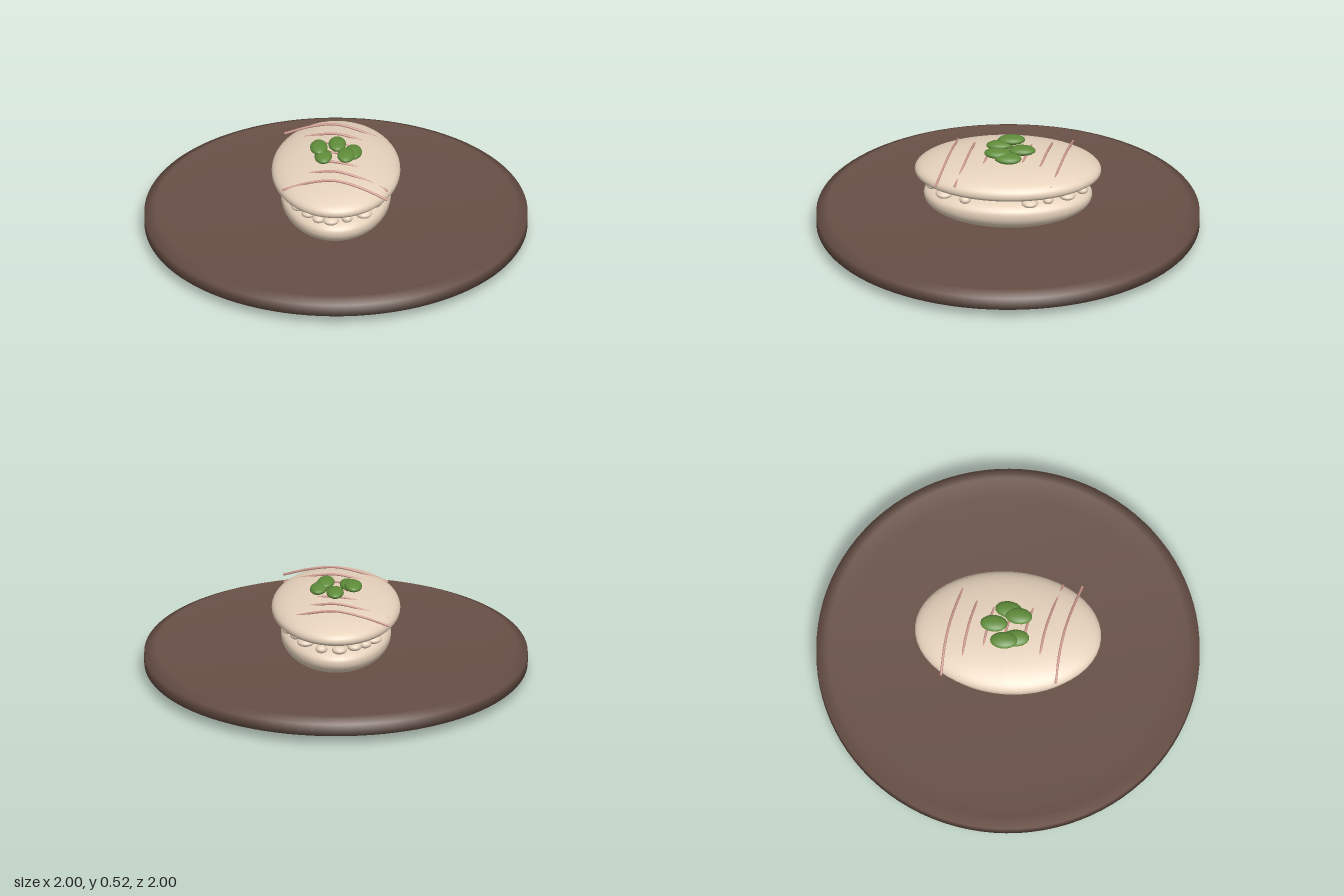
import * as THREE from 'three';

const mat = (name, color) => {
  const m = new THREE.MeshStandardMaterial({ color });
  m.name = name;
  return m;
};

export function createModel() {
  const clay = mat('dark brown plate', 0x674f45);
  const dough = mat('cream dough', 0xe6d2bc);
  const sauce = mat('pink brown sauce', 0xca968b);
  const leafGreen = mat('leaf green', 0x5f8c3a);

  const group = new THREE.Group();
  const add = (name, geo, material, parent = group) => {
    const mesh = new THREE.Mesh(geo, material);
    mesh.name = name;
    parent.add(mesh);
    return mesh;
  };
  const subgroup = (name) => {
    const g = new THREE.Group();
    g.name = name;
    group.add(g);
    return g;
  };

  // Round plate: sloping underside, bevelled rim and a shallow sunken floor
  const rim = [[0, 0.005], [0.71, 0.005], [1, 0.06], [1, 0.124], [0.94, 0.151], [0.85, 0.102], [0, 0.1]];
  add('plate', new THREE.LatheGeometry(rim.map(p => new THREE.Vector2(...p)), 96), clay);

  // Oval buns: each half has its own height and fullness (2 is a plain ellipse)
  const bun = (name, rx, rz, y, [up, upFull], [down, downFull]) => {
    const geo = new THREE.SphereGeometry(1, 48, 40);
    const p = geo.attributes.position;
    for (let i = 0; i < p.count; i++) {
      const h = p.getY(i);
      const e = 2 / (h > 0 ? upFull : downFull);
      const s = Math.hypot(p.getX(i), p.getZ(i));
      const k = s > 1e-6 ? s ** (e - 1) : 0;
      const height = Math.sign(h) * Math.abs(h) ** e * (h > 0 ? up : down);
      p.setXYZ(i, p.getX(i) * k * rx, height, p.getZ(i) * k * rz);
    }
    geo.computeVertexNormals();
    add(name, geo, dough).position.y = y;
  };
  bun('lowerBun', 0.288, 0.44, 0.235, [0.085, 2.4], [0.138, 2.1]);
  bun('upperBun', 0.336, 0.487, 0.375, [0.096, 2.1], [0.068, 2.5]);

  // Filling lumps peeking out between the buns, mostly at the two ends
  const filling = subgroup('filling');
  const lump = new THREE.SphereGeometry(1, 16, 10);
  const count = 20;
  for (let i = 0; i < count; i++) {
    const a = ((i + 0.25 * Math.sin(i * 5.3)) / count) * Math.PI * 2;
    if (Math.abs(Math.sin(a)) < 0.25) continue;
    const size = 0.037 + 0.008 * Math.sin(i * 2.7);
    const m = add('fillingLump', lump, dough, filling);
    m.position.set(Math.cos(a) * 0.25, 0.304 + 0.005 * Math.sin(i * 1.9), Math.sin(a) * 0.41);
    m.scale.set(size, 0.022, size);
  }

  // Seven slanted sauce strands arched over the upper bun
  const drizzle = subgroup('sauceDrizzle');
  for (let i = 0; i < 7; i++) {
    const z = -0.33 + i * 0.1;
    const path = new THREE.CatmullRomCurve3([
      new THREE.Vector3(-0.27, 0.405, z),
      new THREE.Vector3(-0.13, 0.453, z + 0.008),
      new THREE.Vector3(0, 0.475, z + 0.027),
      new THREE.Vector3(0.13, 0.453, z + 0.058),
      new THREE.Vector3(0.27, 0.405, z + 0.098),
    ]);
    const strand = new THREE.TubeGeometry(path, 32, 0.0065, 8);
    add('sauceStrand', strand, sauce, drizzle);
    for (const t of [0, 1]) {
      const tip = add('strandTip', new THREE.SphereGeometry(0.0065, 8, 6), sauce, drizzle);
      tip.position.copy(path.getPoint(t));
    }
  }

  // Small cluster of leaves on top: x, y, z, tilt
  const leaves = subgroup('leafGarnish');
  const leafGeo = new THREE.SphereGeometry(1, 20, 12);
  const spots = [
    [-0.09, 0.5, -0.016, 0.03],
    [0.005, 0.487, -0.074, 0],
    [0.09, 0.48, -0.003, -0.08],
    [0.053, 0.492, 0.052, -0.05],
    [-0.066, 0.48, 0.045, 0.08],
  ];
  for (const [x, y, z, tilt] of spots) {
    const leaf = add('leaf', leafGeo, leafGreen, leaves);
    leaf.scale.set(0.046, 0.023, 0.071);
    leaf.position.set(x, y, z);
    leaf.rotation.set(0, tilt, tilt);
  }

  return group;
}
